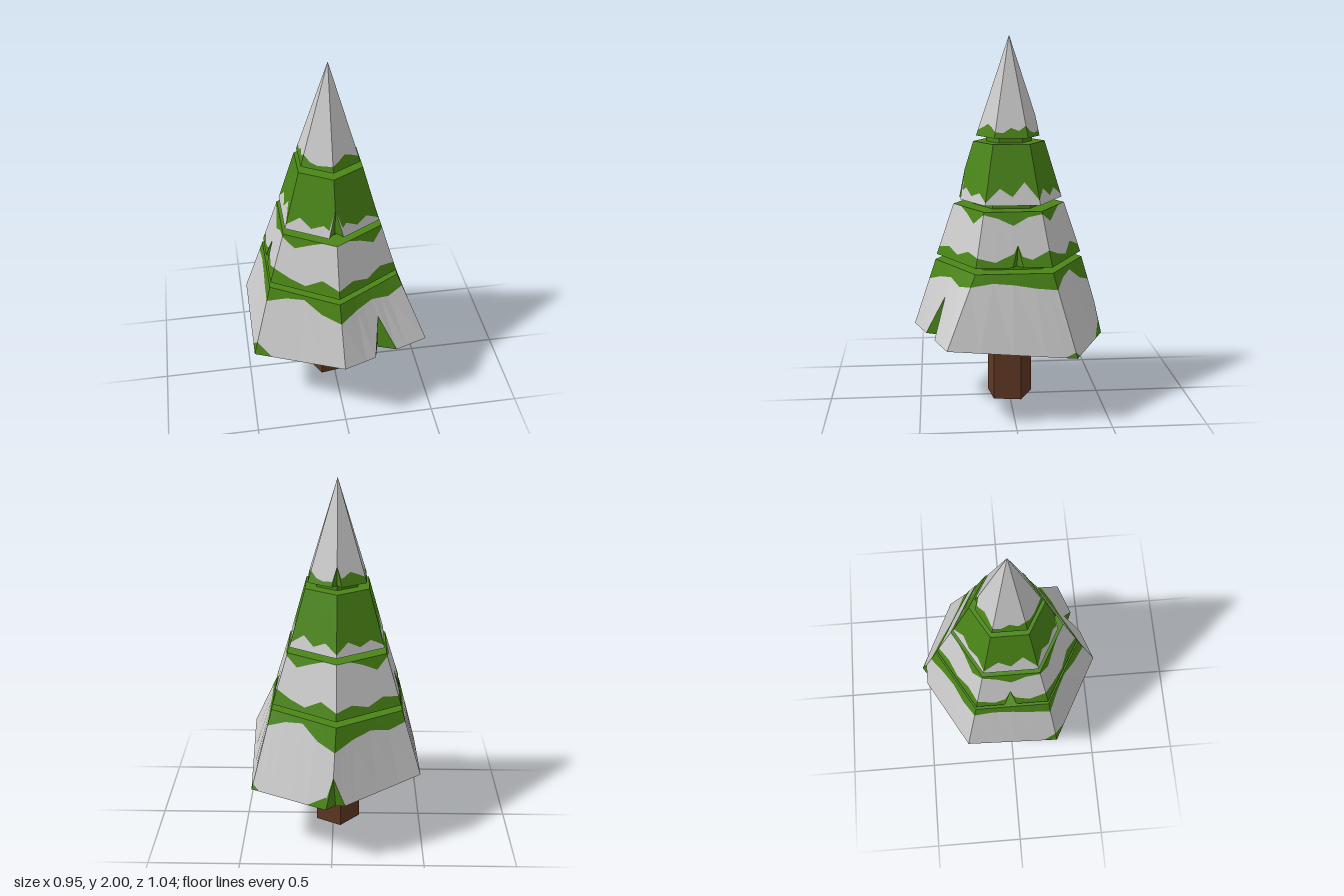
import * as THREE from 'three';

const AXIS = -0.022; // x of the tree's axis
const GREEN = new THREE.MeshStandardMaterial({ color: 0x4a8516, flatShading: true });
const SNOW = new THREE.MeshStandardMaterial({ color: 0xcccccc, flatShading: true });
const BARK = new THREE.MeshStandardMaterial({ color: 0x5f3823, flatShading: true });

const vec = (x, y, z) => new THREE.Vector3(x, y, z);

// Six corners, the first at the front, going round towards +x
const hexagon = (r, y) => Array.from({ length: 6 }, (_, k) =>
  vec(AXIS + r * Math.sin(k * Math.PI / 3), y, r * Math.cos(k * Math.PI / 3)));

// Twelve zigzag heights, repeated twice round the hexagon
const zigzag = (values) => Array.from({ length: 24 }, (_, i) => [i / 4, values[i % 12]]);

// Periodic linear interpolation over t = 0..6
function sample(points, t) {
  const all = [-6, 0, 6, 12].flatMap((s) => points.map(([u, v]) => [u + s, v]))
    .sort((p, q) => p[0] - q[0]);
  const i = all.findIndex((p) => p[0] > t + 1e-9);
  const [t0, v0] = all[i - 1], [t1, v1] = all[i];
  return v0 + (v1 - v0) * (t - t0) / (t1 - t0);
}

function meshFrom(name, corners, material) {
  const geometry = new THREE.BufferGeometry().setFromPoints(corners);
  geometry.computeVertexNormals();
  const mesh = new THREE.Mesh(geometry, material);
  mesh.name = name;
  return mesh;
}

// One tier of branches: green down to upper, snow down to lower, green to the rim.
// Each cut is a wedge in the rim: [start, apex, end, apex height, depth].
function makeTier({ name, top, bottom, upper, lower, cuts }) {
  const green = [], snow = [];
  const tri = (list, a, b, c) => {
    const area = b.clone().sub(a).cross(c.clone().sub(a)).length();
    if (area > 1e-7) list.push(a, b, c);
  };
  const surface = (t, v) => {
    const s = ((t % 6) + 6) % 6, k = Math.floor(s), n = (k + 1) % 6, u = s - k;
    return top[k].clone().lerp(top[n], u).lerp(bottom[k].clone().lerp(bottom[n], u), v);
  };
  const rim = cuts.flatMap(([a, m, b, v]) => [[a, 1], [m, v], [b, 1]]);
  const ts = [0, 1, 2, 3, 4, 5, ...[...upper, ...lower, ...rim].map((p) => p[0])];
  const turns = [...new Set(ts.map((t) => +((t + 6) % 6).toFixed(4)))].sort((a, b) => a - b);
  turns.push(6);

  const columns = turns.map((t) => {
    const end = sample(rim, t);
    const low = Math.min(sample(lower, t), end);
    const up = Math.min(sample(upper, t), low);
    return [0, up, low, end].map((v) => surface(t, v));
  });
  const crown = vec(AXIS, top[0].y, 0);
  const floor = vec(AXIS, bottom.reduce((s, p) => s + p.y, 0) / 6, 0);
  const insideCut = (t) => cuts.some(([a, , b]) =>
    [-6, 0, 6].some((s) => t + s > a && t + s < b));

  for (let i = 0; i < turns.length - 1; i++) {
    const l = columns[i], r = columns[i + 1];
    [green, snow, green].forEach((list, row) => {
      tri(list, l[row], l[row + 1], r[row + 1]);
      tri(list, l[row], r[row + 1], r[row]);
    });
    tri(green, crown, l[0], r[0]);
    if (!insideCut((turns[i] + turns[i + 1]) / 2)) tri(green, floor, r[3], l[3]);
  }
  // Walls of the wedges and the floor behind them
  for (const [a, m, b, v, depth] of cuts) {
    const p = surface(a, 1), q = surface(b, 1), apex = surface(m, v);
    const inner = p.clone().lerp(q, 0.5).lerp(floor, depth);
    tri(green, apex, p, inner);
    tri(green, apex, inner, q);
    tri(green, floor, inner, p);
    tri(green, floor, q, inner);
  }
  const group = new THREE.Group();
  group.name = name;
  group.add(meshFrom('needles', green, GREEN), meshFrom('snow', snow, SNOW));
  return group;
}

export function createModel() {
  const tree = new THREE.Group();
  tree.name = 'snowyTree';

  // Five-sided trunk
  const trunk = new THREE.Mesh(
    new THREE.CylinderGeometry(0.13, 0.13, 0.45, 5, 1, false, Math.PI / 4), BARK);
  trunk.name = 'trunk';
  trunk.position.set(AXIS, 0.225, 0);
  tree.add(trunk);

  const none = [[0, 0]], full = [[0, 1]];
  const tiers = [
    {
      name: 'bottomTier',
      top: hexagon(0.405, 0.79),
      bottom: [vec(-0.01, 0.43, 0.525), vec(0.475, 0.43, 0.355), vec(0.44, 0.36, -0.32),
        vec(0, 0.36, -0.53), vec(-0.48, 0.43, -0.265), vec(-0.48, 0.36, 0.26)],
      upper: zigzag([0.3, 0.2, 0.15, 0.22, 0.17, 0.12, 0.14, 0.18, 0.2, 0.1, 0.06, 0.22]),
      lower: [[1.9, 1], [2, 0.93], [2.1, 1], [2.7, 1], [2.92, 0.85], [3.1, 1],
        [4.85, 1], [5, 0.82], [5.2, 1]],
      cuts: [[0.37, 0.52, 0.63, 0.42, 0.15], [2.93, 3, 3.15, 0.6, 0.04]],
    },
    {
      name: 'lowerMiddleTier',
      top: hexagon(0.303, 1.10), bottom: hexagon(0.398, 0.82),
      upper: zigzag([0, 0, 0.1, 0.25, 0.05, 0.12, 0.25, 0.1, 0.05, 0.22, 0.1, 0]),
      lower: zigzag([0.85, 0.78, 0.88, 0.76, 0.82, 0.9, 0.75, 0.86, 0.7, 0.82, 0.9, 0.72]),
      cuts: [[1.48, 1.56, 1.62, 0.6, 0.12], [4.4, 4.48, 4.56, 0.55, 0.2]],
    },
    {
      name: 'upperMiddleTier',
      top: hexagon(0.193, 1.44), bottom: hexagon(0.29, 1.13),
      upper: zigzag([0.95, 0.78, 0.9, 0.82, 0.95, 0.72, 0.86, 0.62, 0.92, 0.75, 0.9, 0.8]),
      lower: full,
      cuts: [[-0.14, 0, 0.16, 0.5, 0.16]],
    },
    {
      name: 'topTier',
      top: hexagon(0, 2), bottom: hexagon(0.178, 1.47),
      upper: none,
      lower: zigzag([0.94, 0.91, 0.87, 0.9, 0.94, 0.95, 0.9, 0.93, 0.88, 0.94, 0.96, 0.95]),
      cuts: [[2.82, 3, 3.16, 0.8, 0.18]],
    },
  ];
  for (const tier of tiers) tree.add(makeTier(tier));

  // Recessed necks between the tiers
  for (const [r, y] of [[0.3, 0.805], [0.2, 1.115], [0.125, 1.455]]) {
    const neck = new THREE.Mesh(new THREE.CylinderGeometry(r, r, 0.04, 6), GREEN);
    neck.name = 'neck';
    neck.position.set(AXIS, y, 0);
    tree.add(neck);
  }
  return tree;
}
